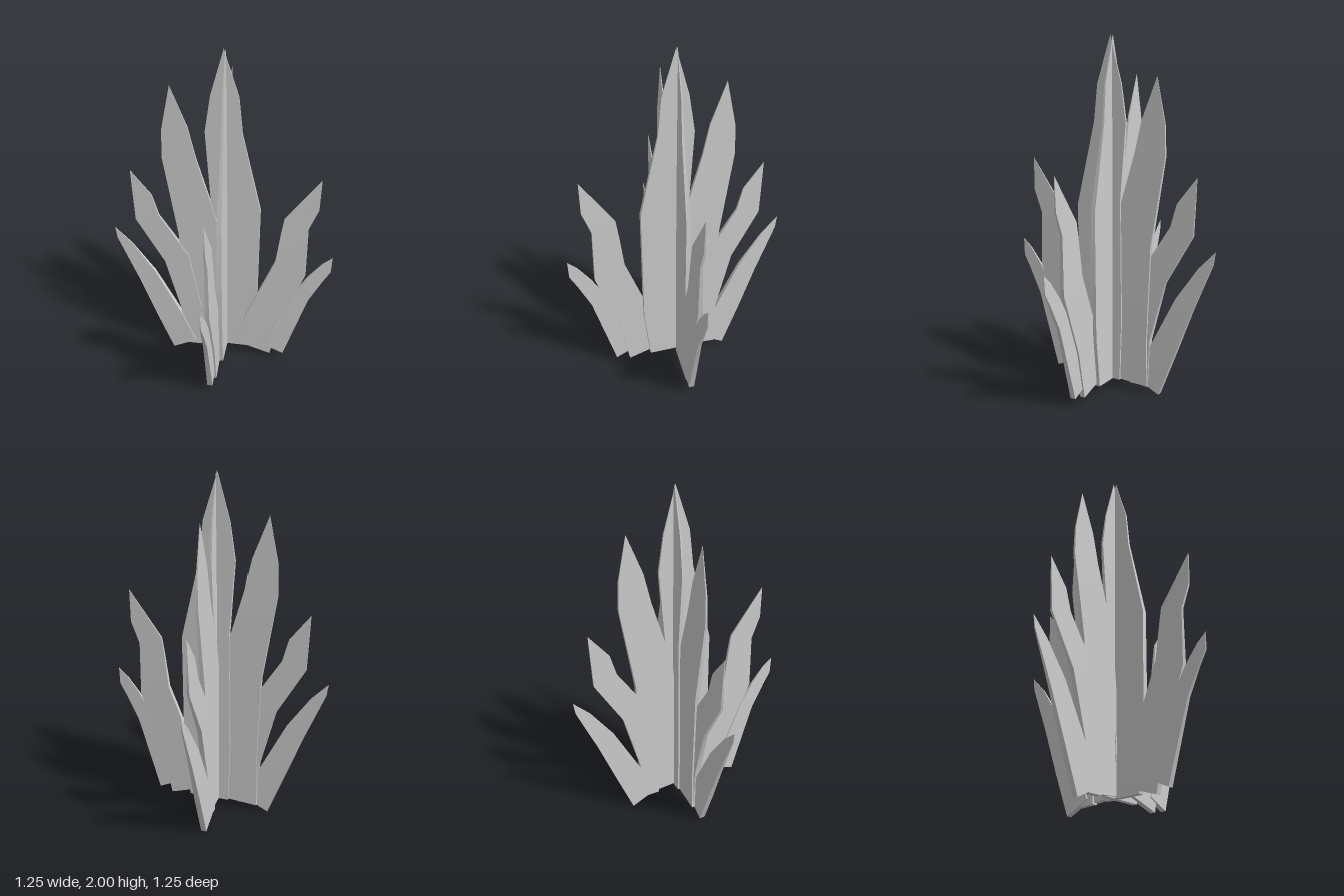
import * as THREE from 'three';
import { toCreasedNormals } from 'three/addons/utils/BufferGeometryUtils.js';

const TILT = THREE.MathUtils.degToRad(10);

// Each blade: depth offset and rows from tip to base, [left x, left y, right x, right y]
const BLADES = {
  centreBlade: { z: -0.01, rows: [
    [0, 2, 0, 2], [-0.07, 1.74, 0.08, 1.74], [-0.1, 1.53, 0.1, 1.53],
    [-0.07, 1.1, 0.205, 1.06], [-0.08, 0.4, 0.2, 0.35], [-0.07, 0.05, 0.165, 0.05]] },
  tallSideBlade: { z: 0, rows: [
    [-0.28, 1.785, -0.28, 1.785], [-0.33, 1.53, -0.19, 1.55], [-0.335, 1.36, -0.15, 1.37],
    [-0.255, 0.86, -0.03, 0.95], [-0.235, 0.3, 0.02, 0.35], [-0.24, 0.04, 0.01, 0.06]] },
  middleSideBlade: { z: 0.01, rows: [
    [-0.515, 1.26, -0.515, 1.26], [-0.51, 1.15, -0.4, 1.11], [-0.5, 0.94, -0.365, 0.98],
    [-0.34, 0.66, -0.2, 0.72], [-0.25, 0.31, -0.13, 0.34], [-0.24, 0.04, -0.13, 0.04]] },
  lowSideBlade: { z: 0.018, rows: [
    [-0.625, 0.87, -0.625, 0.87], [-0.615, 0.8, -0.53, 0.77], [-0.5, 0.52, -0.4, 0.58],
    [-0.4, 0.25, -0.245, 0.27], [-0.305, 0, -0.165, 0.07]] },
  oppositeTallBlade: { z: 0.01, rows: [
    [0.53, 1.3, 0.53, 1.3], [0.34, 1.03, 0.525, 1.11], [0.325, 0.93, 0.475, 0.98],
    [0.3, 0.73, 0.475, 0.66], [0.135, 0.305, 0.345, 0.3], [0.085, 0.09, 0.29, 0.025]] },
  oppositeLowBlade: { z: 0.018, rows: [
    [0.62, 0.8, 0.62, 0.8], [0.565, 0.75, 0.615, 0.7], [0.49, 0.65, 0.575, 0.63],
    [0.41, 0.51, 0.5, 0.48], [0.25, 0.1, 0.37, 0.045]] },
};

// A thin solid lofted through the rows, its thickness tapering towards the tip
function bladeGeometry({ z, rows }) {
  const pos = [], index = [];
  const tipY = rows[0][1], c = Math.cos(TILT);
  rows.forEach(([xl, yl, xr, yr], i) => {
    const h = 0.001 + 0.015 * Math.min(1, 1.7 * (1 - (yl + yr) / 2 / tipY));
    const l = xl / c, r = xr / c;
    pos.push(l, yl, z - h, r, yr, z - h, r, yr, z + h, l, yl, z + h);
    if (i === 0) return;
    for (let k = 0; k < 4; k++) {
      const a = (i - 1) * 4 + k, b = (i - 1) * 4 + (k + 1) % 4;
      index.push(a, b, b + 4, a, b + 4, a + 4);
    }
  });
  const n = (rows.length - 1) * 4;
  index.push(n, n + 1, n + 2, n, n + 2, n + 3);
  const g = new THREE.BufferGeometry();
  g.setAttribute('position', new THREE.Float32BufferAttribute(pos, 3));
  g.setIndex(index);
  return toCreasedNormals(g, 0.6);
}

export function createModel() {
  const model = new THREE.Group();
  model.name = 'crossedBladePlant';
  const material = new THREE.MeshStandardMaterial({ color: 0xcccccc });

  // Two identical fans of blades crossing at a right angle
  ['firstFan', 'secondFan'].forEach((name, i) => {
    const fan = new THREE.Group();
    fan.name = name;
    for (const [part, blade] of Object.entries(BLADES)) {
      const mesh = new THREE.Mesh(bladeGeometry(blade), material);
      mesh.name = part;
      fan.add(mesh);
    }
    fan.rotation.y = TILT - i * Math.PI / 2;
    model.add(fan);
  });
  return model;
}
